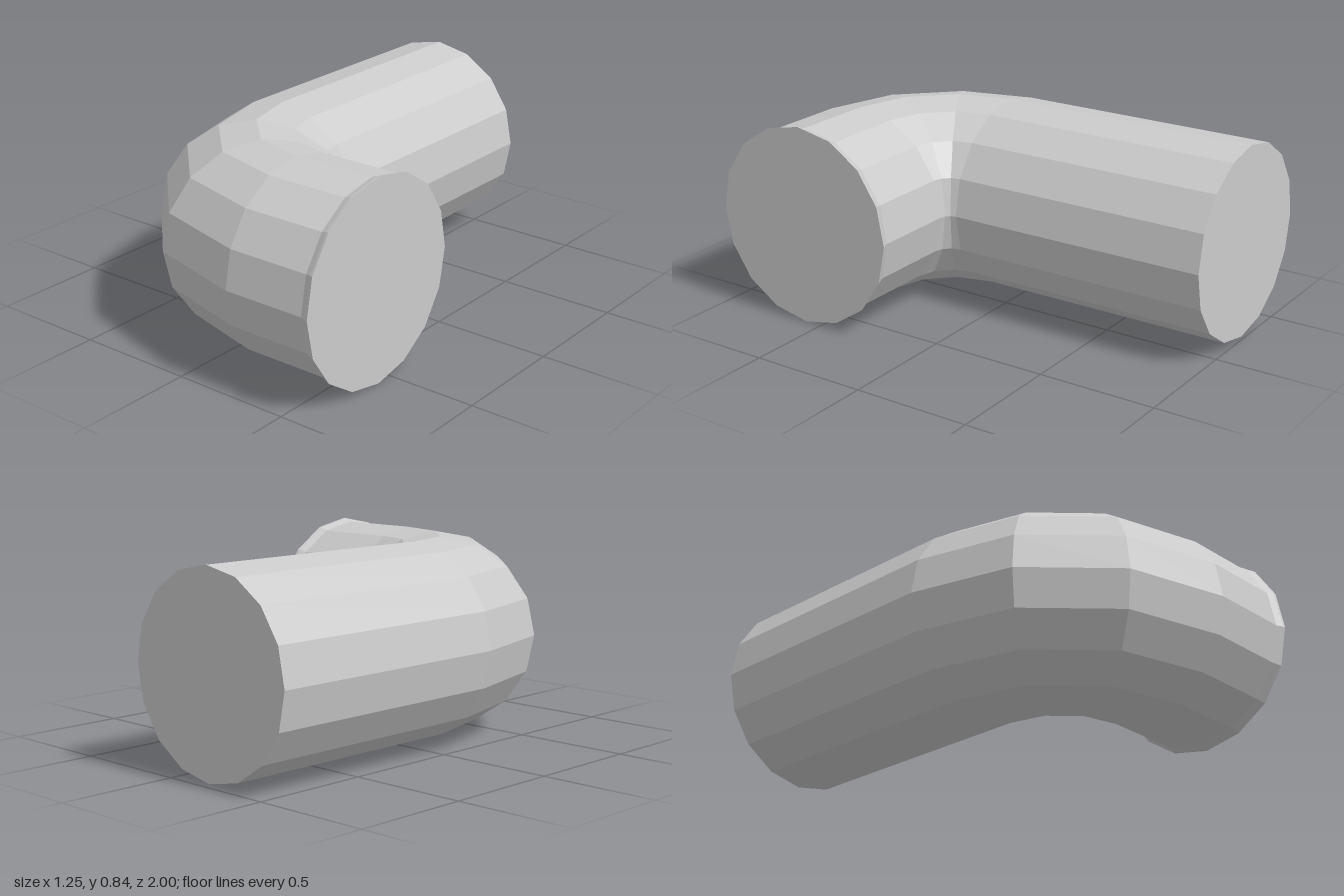
import * as THREE from 'three';

const SIDES = 16, R = 0.407, FLARE = 0.422, MID_Y = 0.422;
const BEND = { x: 0.23, z: 0.125, radius: 0.452 };

// One ring of the pipe: centre, outward direction in plan, radius
const ring = (x, z, angle, r) => ({ x, z, ox: -Math.cos(angle), oz: Math.sin(angle), r });

function pipeGeometry(rings) {
  const pos = [], index = [];
  for (const k of rings) {
    for (let j = 0; j < SIDES; j++) {
      const a = (j / SIDES) * Math.PI * 2;
      const c = Math.cos(a) * k.r;
      pos.push(k.x + k.ox * c, MID_Y + Math.sin(a) * k.r, k.z + k.oz * c);
    }
  }
  for (let i = 0; i < rings.length - 1; i++) {
    for (let j = 0; j < SIDES; j++) {
      const n = (j + 1) % SIDES;
      const a = i * SIDES + j, b = i * SIDES + n;
      index.push(a, a + SIDES, b, b, a + SIDES, b + SIDES);
    }
  }
  // Closed ends
  const last = (rings.length - 1) * SIDES;
  for (let j = 1; j < SIDES - 1; j++) {
    index.push(0, j, j + 1, last, last + j + 1, last + j);
  }
  const geo = new THREE.BufferGeometry();
  geo.setAttribute('position', new THREE.Float32BufferAttribute(pos, 3));
  geo.setIndex(index);
  geo.computeVertexNormals();
  return geo;
}

export function createModel() {
  const group = new THREE.Group();
  group.name = 'pipeElbow';

  // Long straight run at the back
  const rings = [ring(BEND.x - BEND.radius, -1, 0, R)];

  // Quarter bend in three steps
  for (let i = 0; i <= 3; i++) {
    const a = (i * Math.PI) / 6;
    rings.push(ring(BEND.x - Math.cos(a) * BEND.radius, BEND.z + Math.sin(a) * BEND.radius, a, R));
  }

  // Short arm with a slightly flared lip
  const armZ = BEND.z + BEND.radius;
  rings.push(ring(0.587, armZ, Math.PI / 2, R));
  rings.push(ring(0.615, armZ, Math.PI / 2, 0.419));
  rings.push(ring(0.626, armZ, Math.PI / 2, FLARE));

  const pipe = new THREE.Mesh(
    pipeGeometry(rings),
    new THREE.MeshStandardMaterial({ color: 0xcccccc, flatShading: true })
  );
  pipe.name = 'elbowPipe';
  group.add(pipe);
  return group;
}
